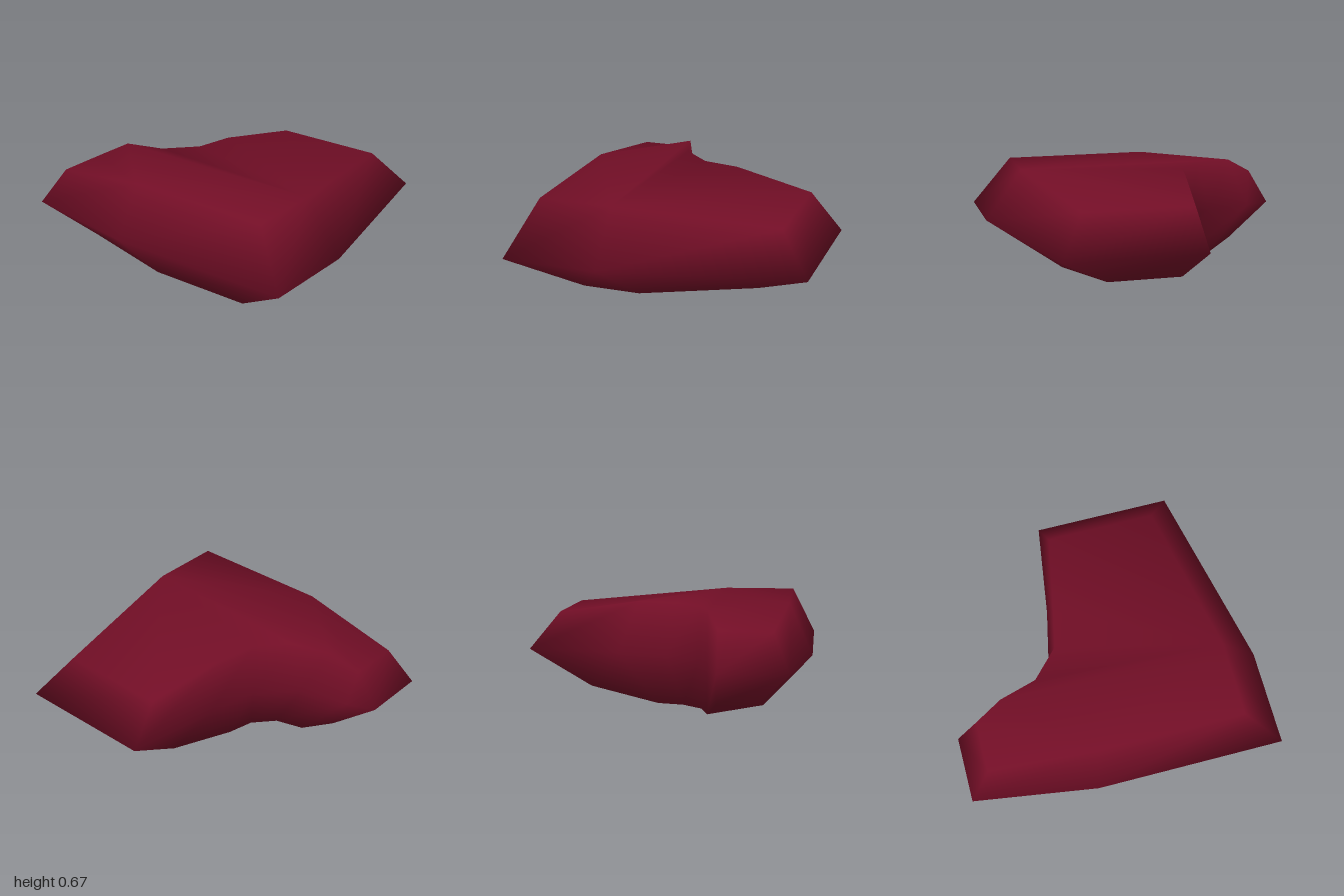
import * as THREE from 'three';

// Closed solid from three matching eleven-sided rings of [x, y, z] corners
const LOWER = [
  [-0.10, 0.09, -0.52], [0.38, 0.09, -0.52], [0.51, 0, 0.23], [0.51, 0, 0.61],
  [-0.17, 0, 0.61], [-0.71, 0.10, 0.59], [-0.71, 0.10, 0.35], [-0.51, 0, 0.28],
  [-0.335, 0, 0.23], [-0.22, 0, 0.10], [-0.18, 0, -0.07],
];
const RIM = [
  [-0.15, -0.92], [0.74, -0.92], [1, 0.31], [1, 0.92], [-0.21, 0.92], [-1, 0.80],
  [-1, 0.38], [-0.83, 0.31], [-0.52, 0.23], [-0.31, 0], [-0.24, -0.32],
].map(([x, z]) => [x, 0.335, z]);
const UPPER = [
  [-0.12, 0.58, -0.72], [0.58, 0.58, -0.72], [0.76, 0.665, 0.30], [0.76, 0.665, 0.77],
  [-0.18, 0.665, 0.77], [-0.86, 0.565, 0.70], [-0.86, 0.565, 0.375], [-0.68, 0.665, 0.30],
  [-0.44, 0.665, 0.23], [-0.27, 0.665, 0.05], [-0.22, 0.665, -0.19],
];

// Triangles that close the bent outline at top and bottom
const CAP = [
  [2, 3, 4], [4, 5, 6], [4, 6, 7], [2, 4, 7], [7, 8, 2],
  [8, 9, 2], [9, 10, 2], [10, 0, 2], [0, 1, 2],
];

function loftRings(rings) {
  const n = rings[0].length;
  const index = [];
  // Sloping sides between neighbouring rings
  for (let r = 0; r < rings.length - 1; r++) {
    for (let i = 0; i < n; i++) {
      const j = (i + 1) % n;
      const a = r * n + i, b = r * n + j;
      index.push(b, a, a + n, b, a + n, b + n);
    }
  }
  // Underside and top
  const top = (rings.length - 1) * n;
  for (const [a, b, c] of CAP) {
    index.push(a, b, c);
    index.push(top + c, top + b, top + a);
  }
  const geometry = new THREE.BufferGeometry();
  geometry.setAttribute('position', new THREE.Float32BufferAttribute(rings.flat(2), 3));
  geometry.setIndex(index);
  geometry.computeVertexNormals();
  return geometry;
}

export function createModel() {
  const group = new THREE.Group();
  group.name = 'bentGem';

  const darkRed = new THREE.MeshStandardMaterial({ color: 0x720e26 });
  darkRed.name = 'darkRed';

  const body = new THREE.Mesh(loftRings([LOWER, RIM, UPPER]), darkRed);
  body.name = 'gemBody';
  group.add(body);
  return group;
}
